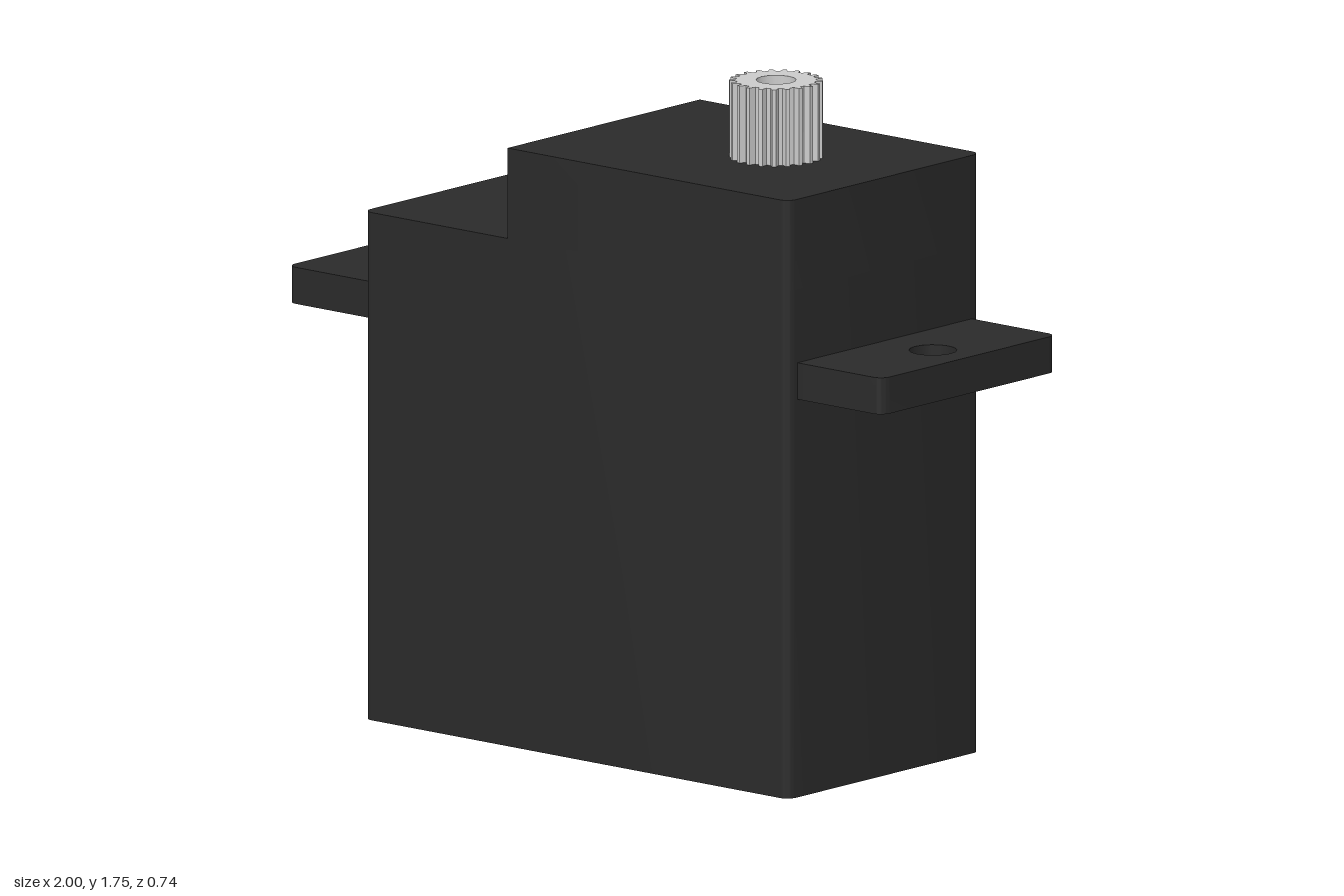
import * as THREE from 'three';
import { toCreasedNormals } from 'three/addons/utils/BufferGeometryUtils.js';

const plastic = new THREE.MeshStandardMaterial({ color: 0x2a2a2a });
const metal = new THREE.MeshStandardMaterial({ color: 0xcccccc });

// Plan outline from x0 to x1, half depth d, with corner radius rl (left) and rr (right)
function plan(x0, x1, d, rl, rr) {
  const s = new THREE.Shape();
  s.moveTo(x0 + rl, -d);
  s.lineTo(x1 - rr, -d);
  if (rr) s.absarc(x1 - rr, -d + rr, rr, -Math.PI / 2, 0);
  s.lineTo(x1, d - rr);
  if (rr) s.absarc(x1 - rr, d - rr, rr, 0, Math.PI / 2);
  s.lineTo(x0 + rl, d);
  if (rl) s.absarc(x0 + rl, d - rl, rl, Math.PI / 2, Math.PI);
  s.lineTo(x0, -d + rl);
  if (rl) s.absarc(x0 + rl, -d + rl, rl, Math.PI, Math.PI * 1.5);
  return s;
}

function addHole(shape, x, r) {
  shape.holes.push(new THREE.Path().absarc(x, 0, r, 0, Math.PI * 2, true));
  return shape;
}

// Raise a plan outline from y0 to y1
function prism(name, shape, y0, y1, material, crease = 0.5) {
  const extruded = new THREE.ExtrudeGeometry(shape, { depth: y1 - y0, bevelEnabled: false, curveSegments: 8 });
  extruded.rotateX(-Math.PI / 2).translate(0, y0, 0);
  const mesh = new THREE.Mesh(toCreasedNormals(extruded, crease), material);
  mesh.name = name;
  return mesh;
}

// Toothed outline of the output shaft
function gearPlan(teeth, inner, outer) {
  const pts = [];
  const step = (Math.PI * 2) / teeth;
  for (let i = 0; i < teeth; i++) {
    for (const [f, r] of [[-0.32, inner], [-0.14, outer], [0.14, outer], [0.32, inner]]) {
      const a = (i + f) * step;
      pts.push(new THREE.Vector2(r * Math.cos(a), r * Math.sin(a)));
    }
  }
  return new THREE.Shape(pts);
}

export function createModel() {
  const model = new THREE.Group();
  model.name = 'servoMotor';

  // Stepped case
  model.add(prism('lowerCase', plan(-0.715, 0.715, 0.372, 0.03, 0.03), 0, 1.32, plastic));
  model.add(prism('upperCase', plan(-0.23, 0.715, 0.372, 0, 0.03), 1.32, 1.555, plastic));

  // Mounting tabs with screw holes
  for (const side of ['left', 'right']) {
    const outline = addHole(plan(0.715, 1, 0.338, 0, 0.03), 0.877, 0.061);
    const tab = prism(side + 'MountingTab', outline, 1.035, 1.13, plastic);
    if (side === 'right') tab.rotation.y = Math.PI;
    model.add(tab);
  }

  // Splined output shaft with a blind screw hole
  const shaft = new THREE.Group();
  shaft.name = 'outputShaft';
  shaft.position.set(0.35, 1.555, 0);
  shaft.add(prism('shaftBase', gearPlan(21, 0.102, 0.119), 0, 0.08, metal, 0.2));
  shaft.add(prism('shaftTop', addHole(gearPlan(21, 0.102, 0.119), 0, 0.051), 0.08, 0.2, metal, 0.4));
  model.add(shaft);

  return model;
}
